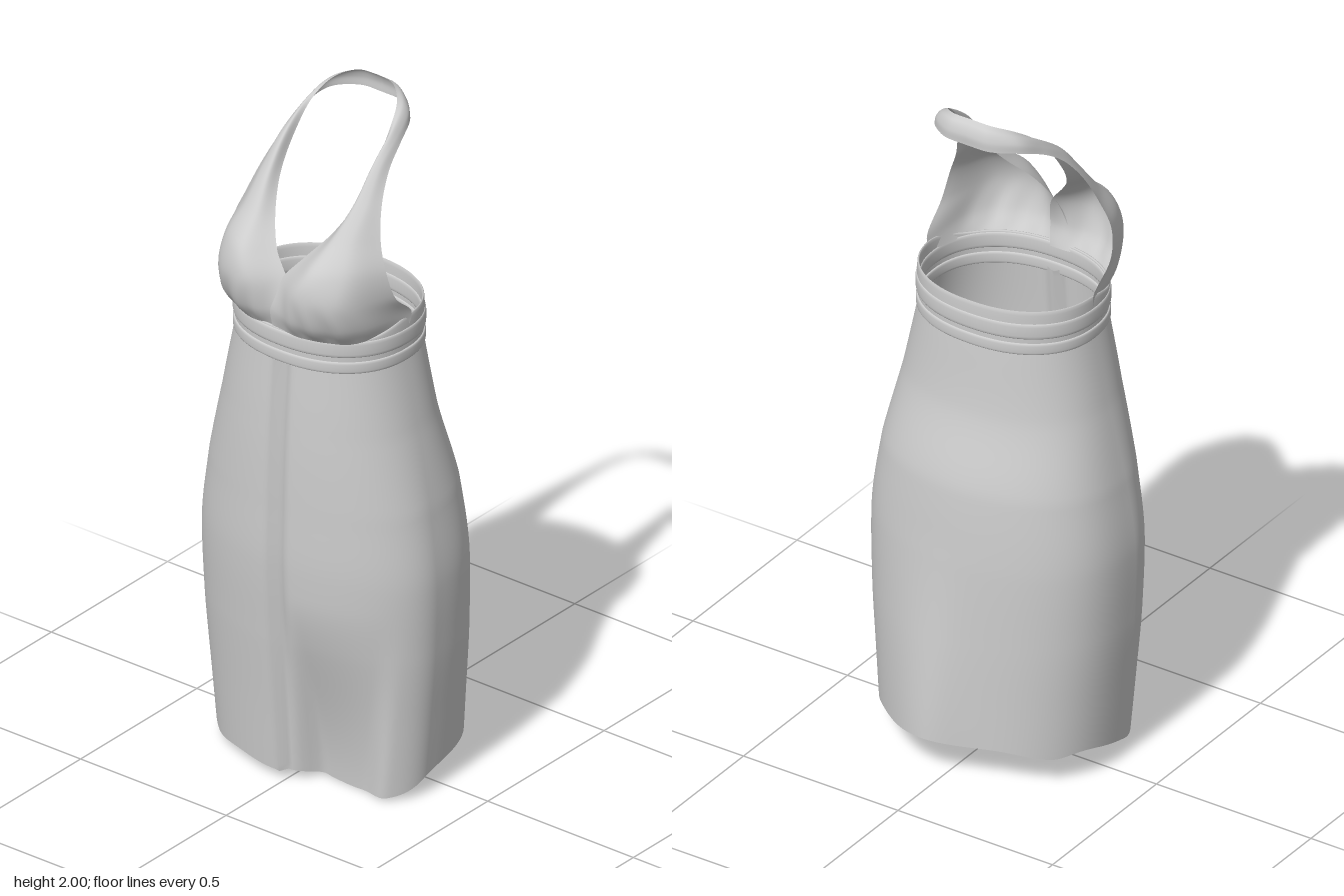
import * as THREE from 'three';
import { mergeVertices } from 'three/addons/utils/BufferGeometryUtils.js';

const cloth = new THREE.MeshStandardMaterial({ color: 0xcccccc, side: THREE.DoubleSide });
const { lerp, smoothstep } = THREE.MathUtils;
const V = (x, y, z) => new THREE.Vector3(x, y, z);

// Smooth sheet from a rule f(u, v) -> Vector3; touching edges are welded.
function sheet(name, nu, nv, f) {
  const pos = [], idx = [];
  for (let j = 0; j <= nv; j++)
    for (let i = 0; i <= nu; i++) pos.push(...f(i / nu, j / nv).toArray());
  for (let j = 0; j < nv; j++)
    for (let i = 0; i < nu; i++) {
      const a = j * (nu + 1) + i, b = a + nu + 1;
      idx.push(a, b, a + 1, b, b + 1, a + 1);
    }
  let g = new THREE.BufferGeometry();
  g.setAttribute('position', new THREE.Float32BufferAttribute(pos, 3));
  g.setIndex(idx);
  g = mergeVertices(g, 1e-5);
  g.computeVertexNormals();
  const mesh = new THREE.Mesh(g, cloth);
  mesh.name = name;
  return mesh;
}

// Body outline with its own roundness in front and behind.
// Angle 0 is the front centre, rising towards +x; shape blends from waist (0) to hip (1).
function outline(angle, a, zFront, zBack, shape) {
  const s = Math.sin(angle), c = Math.cos(angle);
  const front = lerp(0.9, 1, shape);
  const px = c < 0 ? lerp(0.9, 1.06, shape) : front;
  const pz = c < 0 ? lerp(0.9, 0.67, shape) : front;
  const zMid = lerp(0.053, 0.073, shape);
  return [
    a * Math.sign(s) * Math.abs(s) ** px,
    zMid + ((c < 0 ? zBack : zFront) - zMid) * Math.abs(c) ** pz,
  ];
}

// Skirt: half width, front z, back z at even steps from waist to hem
const skirtCurve = new THREE.CatmullRomCurve3([
  [0.262, 0.272, -0.155], [0.308, 0.288, -0.18], [0.357, 0.297, -0.24], [0.384, 0.299, -0.258],
  [0.379, 0.285, -0.264], [0.361, 0.266, -0.268], [0.341, 0.25, -0.272],
].map(p => V(...p)));
const WAIST = 1.32;

function skirtPoint(u, v) {
  const angle = u * Math.PI * 2;
  const onLeft = angle < Math.PI;
  const [hemX, hemZ] = outline(angle, 0.33, 0.25, -0.3, 1);
  const dip = onLeft ? 0.024 * smoothstep(hemZ, 0.05, 0.15) * smoothstep(hemX, 0, 0.1) : 0;
  const corner = 0.025 * smoothstep(Math.abs(hemX), 0.26, 0.33);
  const hem = 0.031 + 0.21 * Math.max(0, 0.1 - hemZ) - dip + corner + 0.003 * Math.sin(angle * 9);
  const y = lerp(WAIST, hem, v);
  const s = skirtCurve.getPoint(Math.min(1, 1 - y / WAIST));
  const low = 1 - smoothstep(y, 0.05, 0.75);
  let [x, z] = outline(angle, s.x, s.y, s.z, smoothstep(v, 0, 0.5));
  if (Math.cos(angle) < 0) {                    // fold at the back
    const width = x < 0.06 ? 0.1 : 0.15;
    z -= 0.045 * low * Math.exp(-(((x - 0.06) / width) ** 2));
  } else if (onLeft) {                          // left panel sinks behind the right one
    z -= 0.022 * (1 - smoothstep(x, 0, 0.05));
    const fall = (1 - smoothstep(y, -0.05, 0.6)) * smoothstep(x, 0, 0.08);
    const depth = Math.max(0, z - 0.16);
    z -= fall * depth * smoothstep(depth, 0, 0.06);
  } else {
    z += 0.006 * (1 - smoothstep(-x, 0, 0.03)); // rolled edge of the right panel
  }
  if (u === 1) z -= 0.028;                      // the rolled edge turns in to meet the left panel
  return V(u === 1 ? 0 : x, y, z);
}

// Waistband: a closed rounded profile carried around the waist
function band(name, y0, y1, thick, backRise = 0) {
  return sheet(name, 96, 16, (u, v) => {
    const t = v * Math.PI * 2, angle = u * Math.PI * 2;
    const c = Math.cos(t), s = Math.sin(t);
    const out = thick * Math.sign(c) * Math.abs(c) ** 0.5;
    const rise = backRise * smoothstep(-Math.cos(angle), -0.6, 0.1);
    const y = (y0 + y1) / 2 + (y1 - y0) / 2 * Math.sign(s) * Math.abs(s) ** 0.6
      + (s > 0 ? rise * s : 0);
    const [x, z] = outline(angle, 0.262 + out, 0.272 + out, -0.157 - out, 0);
    return V(x, y, z);
  });
}

// Halter half: each row runs from neckline edge to armhole edge, rows climb from band to nape
const halterRows = [
  [[-0.02, 1.39, 0.272], [0.09, 1.39, 0.265], [0.208, 1.39, 0.203], [0.265, 1.4, 0.045]],
  [[-0.024, 1.46, 0.28], [0.095, 1.45, 0.303], [0.22, 1.45, 0.24], [0.27, 1.445, 0.04]],
  [[-0.008, 1.54, 0.254], [0.09, 1.535, 0.315], [0.207, 1.53, 0.274], [0.274, 1.52, 0.115]],
  [[0.045, 1.61, 0.225], [0.115, 1.61, 0.29], [0.203, 1.61, 0.248], [0.262, 1.6, 0.138]],
  [[0.098, 1.68, 0.165], [0.13, 1.685, 0.206], [0.182, 1.685, 0.192], [0.232, 1.68, 0.125]],
  [[0.132, 1.76, 0.1], [0.147, 1.77, 0.132], [0.178, 1.77, 0.122], [0.204, 1.77, 0.085]],
  [[0.14, 1.85, 0.03], [0.15, 1.863, 0.053], [0.168, 1.86, 0.045], [0.182, 1.845, 0.025]],
  [[0.133, 1.93, -0.04], [0.146, 1.928, -0.033], [0.159, 1.912, -0.037], [0.167, 1.893, -0.042]],
  [[0.108, 1.975, -0.1], [0.123, 1.968, -0.11], [0.135, 1.95, -0.117], [0.14, 1.925, -0.117]],
  [[0.06, 1.996, -0.14], [0.065, 1.985, -0.157], [0.07, 1.96, -0.167], [0.072, 1.933, -0.168]],
  [[0, 2, -0.146], [0, 1.988, -0.162], [0, 1.963, -0.173], [0, 1.934, -0.173]],
];
const halterRails = [0, 1, 2, 3].map(k =>
  new THREE.CatmullRomCurve3(halterRows.map(r => V(...r[k]))));

function halterHalf(name, side) {
  return sheet(name, 28, 90, (u, v) => {
    const row = new THREE.CatmullRomCurve3(halterRails.map(r => r.getPoint(v)));
    const p = row.getPoint(u);
    // gathers that fade away from the bust seam
    const gather = smoothstep(v, 0, 0.06) * (1 - smoothstep(v, 0.08, 0.22));
    p.z += 0.004 * gather * Math.sin(u * 34) * Math.sin(u * Math.PI);
    // the right half slips under the left at the centre
    if (side < 0) p.z -= 0.012 * (1 - smoothstep(v, 0.1, 0.3)) * (1 - smoothstep(u, 0.1, 0.4));
    p.x *= side;
    return p;
  });
}

export function createModel() {
  const dress = new THREE.Group();
  dress.name = 'halterDress';
  dress.add(
    sheet('wrapSkirt', 180, 70, skirtPoint),
    band('lowerWaistband', 1.303, 1.338, 0.007),
    band('waistSeam', 1.325, 1.37, 0.002),
    band('upperWaistband', 1.352, 1.4, 0.008),
    band('bodiceEdge', 1.38, 1.404, 0.004, 0.033),
    halterHalf('leftHalter', 1),
    halterHalf('rightHalter', -1),
  );
  return dress;
}
